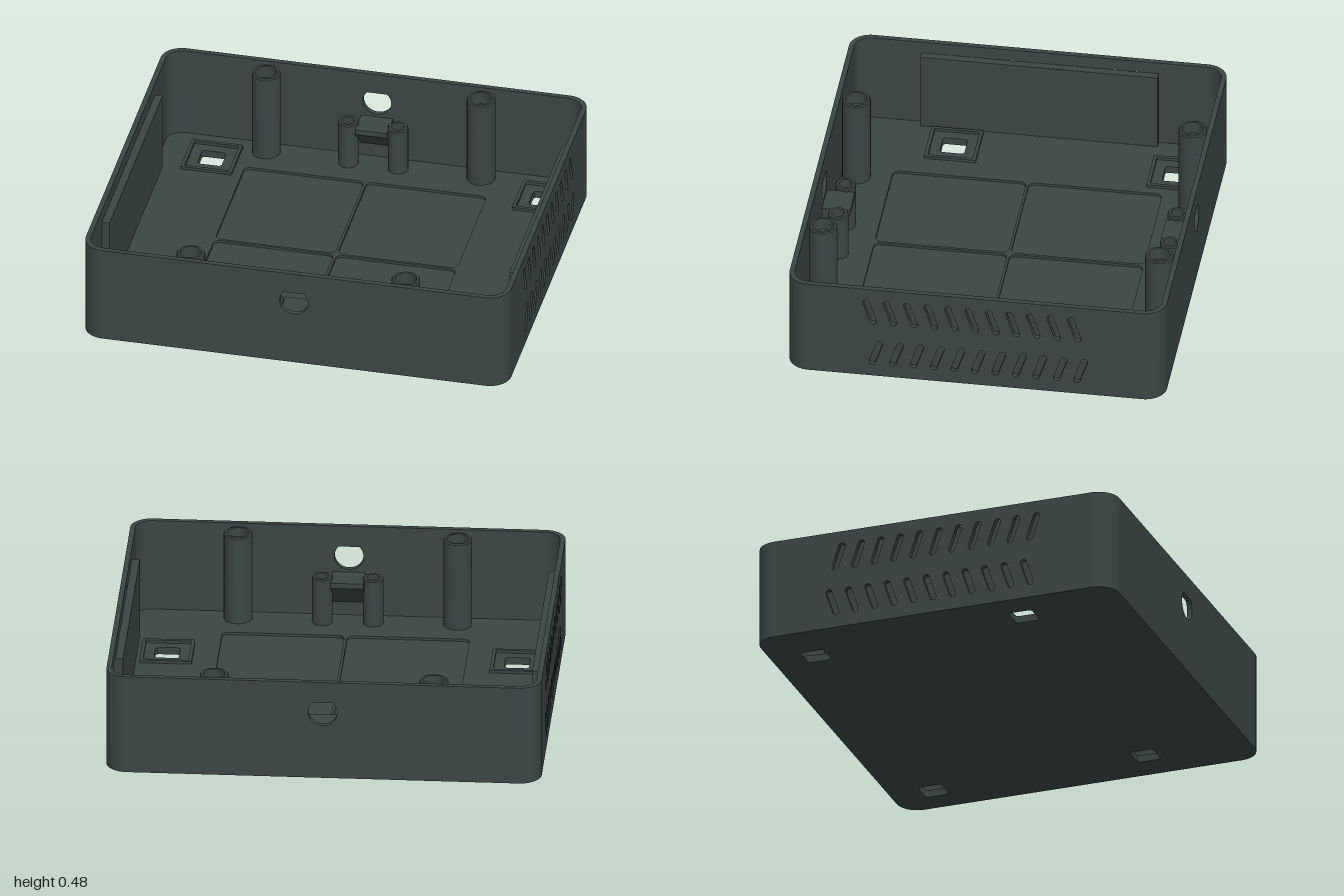
import * as THREE from 'three';
import { toCreasedNormals } from 'three/addons/utils/BufferGeometryUtils.js';

const W = 1, D = 0.875, H = 0.48; // half width, half depth, height
const T = 0.024, R = 0.1;         // wall thickness, corner radius
const FLOOR = 0.035, RECESS = 0.012;

const shell = new THREE.MeshStandardMaterial({ color: 0x3b4645 });
shell.name = 'darkSlate';

function add(parent, name, geometry, x = 0, y = 0, z = 0) {
  const mesh = new THREE.Mesh(geometry, shell);
  mesh.name = name;
  mesh.position.set(x, y, z);
  parent.add(mesh);
  return mesh;
}

function extrude(shape, depth) {
  const g = new THREE.ExtrudeGeometry(shape, { depth, bevelEnabled: false, curveSegments: 12 });
  return toCreasedNormals(g, 0.6);
}

// Extrudes a plan drawn in x, z so that it spans y = bottom to top
function slab(shape, bottom, top) {
  return extrude(shape, top - bottom).rotateX(Math.PI / 2).translate(0, top, 0);
}

function roundRect(path, cx, cy, hw, hh, r) {
  path.absarc(cx + hw - r, cy + hh - r, r, 0, Math.PI / 2);
  path.absarc(cx - hw + r, cy + hh - r, r, Math.PI / 2, Math.PI);
  path.absarc(cx - hw + r, cy - hh + r, r, Math.PI, Math.PI * 1.5);
  path.absarc(cx + hw - r, cy - hh + r, r, Math.PI * 1.5, Math.PI * 2);
  path.closePath();
  return path;
}

// Slanted slot with round ends
function slot(cx, cy, tilt) {
  const r = 0.015, half = 0.054, path = new THREE.Path();
  const dx = Math.sin(tilt) * half, dy = Math.cos(tilt) * half;
  path.absarc(cx + dx, cy + dy, r, -tilt, Math.PI - tilt);
  path.absarc(cx - dx, cy - dy, r, Math.PI - tilt, Math.PI * 2 - tilt);
  path.closePath();
  return path;
}

function teardrop() {
  const path = new THREE.Path();
  path.moveTo(0, 0.42);
  path.absarc(0, 0.33, 0.067, Math.PI * 0.75, Math.PI * 2.25);
  path.closePath();
  return path;
}

function wall(half, holes) {
  const s = new THREE.Shape();
  s.moveTo(-half, 0);
  s.lineTo(half, 0);
  s.lineTo(half, H);
  s.lineTo(-half, H);
  s.closePath();
  s.holes.push(...holes);
  return extrude(s, T);
}

// Hollow screw post
function post(radius, bore, top, depth) {
  const pts = [[radius, FLOOR - 0.005], [radius, top - 0.006], [radius - 0.005, top],
    [bore, top], [bore, top - depth], [0, top - depth]];
  const g = new THREE.LatheGeometry(pts.map(p => new THREE.Vector2(...p)), 28);
  return toCreasedNormals(g, 0.6);
}

export function createModel() {
  const box = new THREE.Group();
  box.name = 'enclosureBase';

  // Front and back walls with cable holes
  add(box, 'frontWall', wall(W - R, [teardrop()]), 0, 0, D - T);
  add(box, 'backWall', wall(W - R, [teardrop()]), 0, 0, -D);

  // Side walls with two rows of slanted vents
  const vents = [];
  for (let i = 0; i < 11; i++) {
    vents.push(slot(-0.49 + 0.095 * i, 0.355, -0.32));
    vents.push(slot(-0.46 + 0.095 * i, 0.128, 0.32));
  }
  const side = wall(D - R, vents).rotateY(Math.PI / 2);
  add(box, 'leftWall', side, W - T);
  add(box, 'rightWall', side, -W);

  // Rounded corners
  for (let k = 0; k < 4; k++) {
    const a = k * Math.PI / 2, s = new THREE.Shape();
    s.absarc(0, 0, R, a, a + Math.PI / 2, false);
    s.absarc(0, 0, R - T, a + Math.PI / 2, a, true);
    s.closePath();
    const sx = k === 0 || k === 3 ? 1 : -1, sz = k < 2 ? 1 : -1;
    add(box, 'cornerWall', slab(s, 0, H), sx * (W - R), 0, sz * (D - R));
  }

  // Floor in two layers, the upper one open over four shallow recesses
  const mounts = [[-0.735, -0.667], [0.823, -0.667], [-0.807, 0.375], [0.802, 0.375]];
  const plan = () => {
    const s = roundRect(new THREE.Shape(), 0, 0, W - T, D - T, R - T);
    for (const [x, z] of mounts) s.holes.push(roundRect(new THREE.Path(), x, z, 0.057, 0.057, 0.015));
    return s;
  };
  const upper = plan();
  for (const x of [-0.29, 0.285])
    for (const z of [-0.32, 0.31])
      upper.holes.push(roundRect(new THREE.Path(), x, z, 0.281, 0.309, 0.03));
  add(box, 'floor', slab(plan(), 0, FLOOR - RECESS));
  add(box, 'recessedFloor', slab(upper, FLOOR - RECESS, FLOOR));

  // Square lips round the floor openings
  for (const [x, z] of mounts) {
    const s = roundRect(new THREE.Shape(), 0, 0, 0.12, 0.12, 0.003);
    s.holes.push(roundRect(new THREE.Path(), 0, 0, 0.104, 0.104, 0.003));
    add(box, 'openingLip', slab(s, FLOOR, FLOOR + 0.014), x, 0, z);
  }

  // Backing plates behind the vents
  for (const s of [-1, 1])
    add(box, 'ventBacking', new THREE.BoxGeometry(0.036, 0.39, 1.1), s * (W - T - 0.018), 0.225, 0);

  // Tall and short posts, and a wedge shelf below each cable hole
  const tall = post(0.066, 0.05, 0.467, 0.06);
  const short = post(0.047, 0.03, 0.265, 0.1);
  const profile = new THREE.Shape();
  profile.moveTo(0, 0.25);
  profile.lineTo(0, 0.1);
  profile.lineTo(0.13, 0.225);
  profile.lineTo(0.13, 0.25);
  profile.closePath();
  const shelf = extrude(profile, 0.15).translate(0, 0, -0.075).rotateY(-Math.PI / 2);
  for (const end of [-1, 1]) {
    for (const s of [-1, 1]) {
      add(box, 'tallPost', tall, s * 0.505, 0, end * 0.78);
      add(box, 'shortPost', short, s * 0.117, 0, end * 0.77);
    }
    const m = add(box, 'cableShelf', shelf, 0, 0, end * (D - T));
    if (end > 0) m.rotation.y = Math.PI;
  }
  return box;
}
